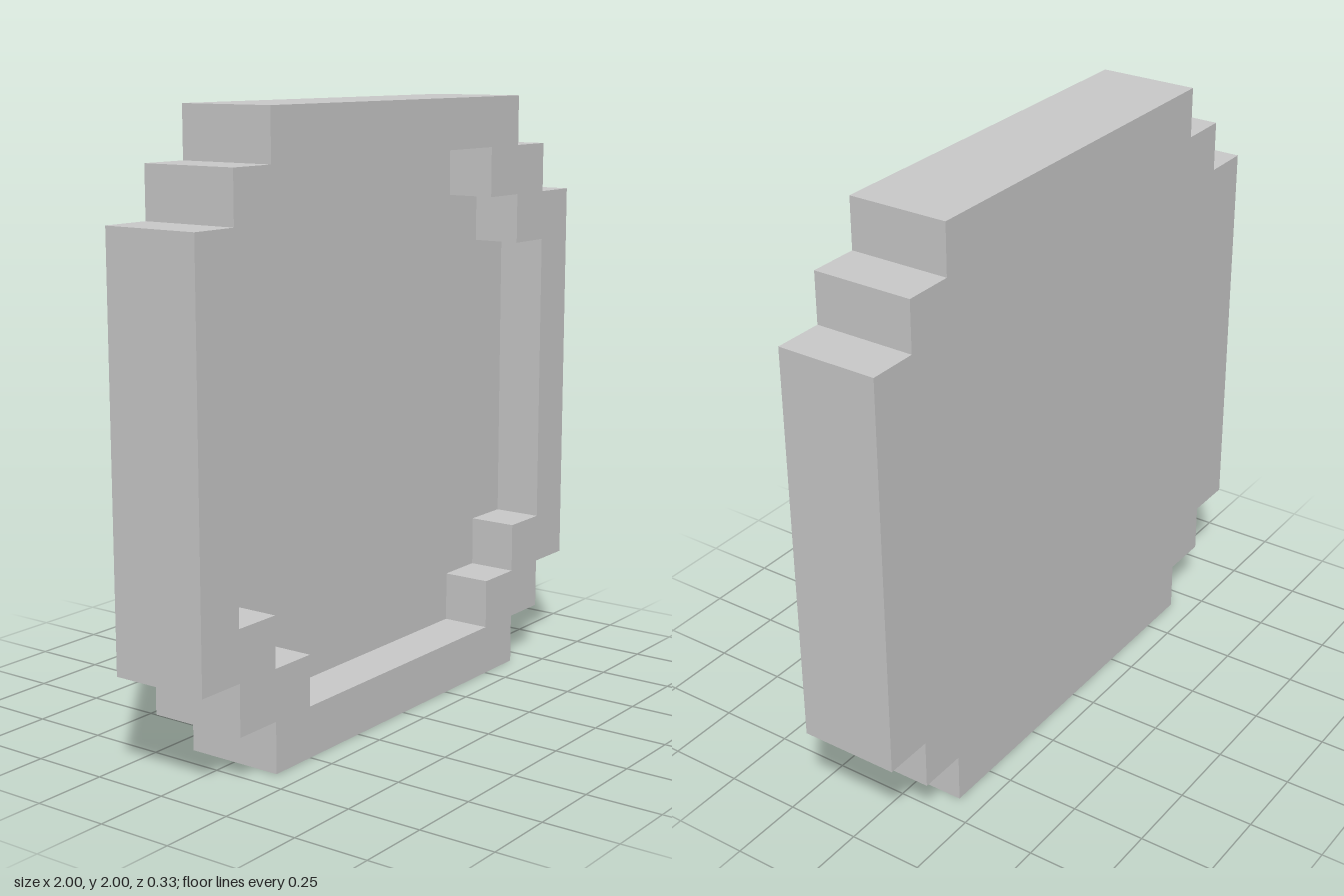
import * as THREE from 'three';

const U = 1 / 6; // one step of the stair-cut corners
const HALF_DEPTH = U;

// Counter-clockwise outline of a square of half-size r whose corners are cut in two steps
function steppedOutline(r) {
  const corner = [[r, r - 2 * U], [r - U, r - 2 * U], [r - U, r - U], [r - 2 * U, r - U], [r - 2 * U, r]];
  const points = [];
  for (let q = 0; q < 4; q++) {
    for (const [x, y] of corner) {
      points.push(new THREE.Vector2(x, y).rotateAround(new THREE.Vector2(), q * Math.PI / 2));
    }
  }
  return points;
}

// Flat walls along a closed outline, facing to the right of its direction
function wallGeometry(points, z0, z1) {
  const positions = [];
  points.forEach((a, i) => {
    const b = points[(i + 1) % points.length];
    positions.push(a.x, a.y, z0, b.x, b.y, z0, b.x, b.y, z1);
    positions.push(a.x, a.y, z0, b.x, b.y, z1, a.x, a.y, z1);
  });
  const geometry = new THREE.BufferGeometry();
  geometry.setAttribute('position', new THREE.Float32BufferAttribute(positions, 3));
  geometry.computeVertexNormals();
  return geometry;
}

export function createModel() {
  const model = new THREE.Group();
  model.name = 'steppedTray';
  const material = new THREE.MeshStandardMaterial({ color: 0xcccccc, flatShading: true });
  const add = (name, geometry) => {
    const mesh = new THREE.Mesh(geometry, material);
    mesh.name = name;
    mesh.position.y = 1;
    model.add(mesh);
  };

  const outer = steppedOutline(1);
  const inner = steppedOutline(1 - U);

  // Front rim: a ring around the recess
  const rim = new THREE.Shape(outer);
  rim.holes.push(new THREE.Path(inner));
  add('frontRim', new THREE.ShapeGeometry(rim).translate(0, 0, HALF_DEPTH));

  // Outer sides and back
  add('outerWalls', wallGeometry(outer, -HALF_DEPTH, HALF_DEPTH));
  add('backPanel', new THREE.ShapeGeometry(new THREE.Shape(outer)).rotateY(Math.PI).translate(0, 0, -HALF_DEPTH));

  // Recess, half as deep as the body
  add('recessWalls', wallGeometry([...inner].reverse(), 0, HALF_DEPTH));
  add('recessFloor', new THREE.ShapeGeometry(new THREE.Shape(inner)));

  return model;
}
